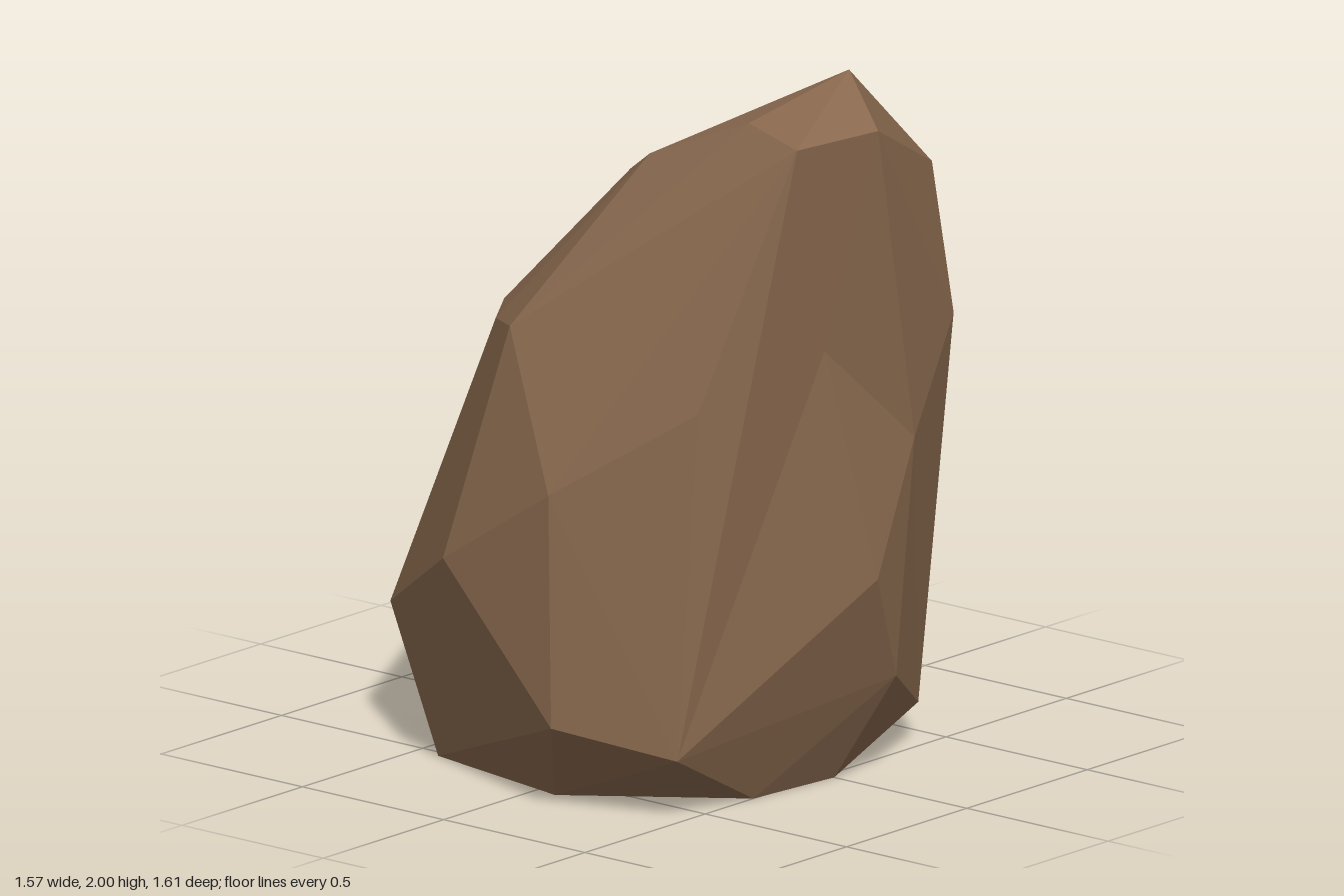
import * as THREE from 'three';
import { ConvexGeometry } from 'three/addons/geometries/ConvexGeometry.js';

// Corners of the rock, grouped by height band
const CORNERS = {
  foot: [[-0.64, 0, 0.24], [-0.42, 0, 0.53], [0.07, 0, 0.62], [0.5, 0, 0.3], [0.53, 0, 0], [0.11, 0, -0.64], [-0.5, 0, -0.52]],
  base: [[-0.785, 0.26, -0.07], [-0.7, 0.355, 0.4], [0.21, 0.25, 0.8], [0.52, 0.18, 0.64], [0.69, 0.3, -0.07],
    [0.47, 0.11, -0.42], [-0.145, 0.31, -0.805], [-0.44, 0.09, -0.75], [-0.715, 0.25, -0.435]],
  middle: [[-0.19, 0.65, 0.78], [0.2, 0.9, 0.8], [0.77, 0.62, 0.1], [-0.18, 1, -0.68], [-0.47, 0.99, -0.535], [-0.63, 0.93, -0.34]],
  shoulder: [[-0.565, 1.18, -0.14], [-0.54, 1.17, 0.115], [-0.25, 1.25, 0.49], [-0.03, 1.31, 0.69], [0.56, 1.15, 0.6],
    [0.655, 1.25, -0.35], [0.19, 1.33, -0.59]],
  crown: [[-0.13, 1.6, 0.07], [-0.03, 1.64, -0.36], [0.2, 1.74, -0.38], [0.51, 1.63, -0.43], [0.18, 1.76, 0.355],
    [0.51, 1.9, 0.33], [0.74, 1.88, 0.4], [0.78, 1.88, 0.11], [0.6, 2, 0.02]],
};

// Corners of the hollow flank: hulled slightly outwards, then pressed back in
const DENTS = [
  { at: [0.73, 0.97, -0.1], push: 0.05 },
  { at: [0.71, 1.28, 0.25], push: 0.1 },
];

function rockGeometry() {
  const points = Object.values(CORNERS).flat().map((p) => new THREE.Vector3(...p));
  const raised = DENTS.map(({ at, push }) => new THREE.Vector3(at[0] + push, at[1], at[2]));
  const geometry = new ConvexGeometry([...points, ...raised]);

  const position = geometry.attributes.position;
  const v = new THREE.Vector3();
  for (let i = 0; i < position.count; i++) {
    v.fromBufferAttribute(position, i);
    const hit = raised.findIndex((r) => r.distanceTo(v) < 1e-4);
    if (hit >= 0) position.setXYZ(i, ...DENTS[hit].at);
  }
  geometry.computeVertexNormals();
  return geometry;
}

export function createModel() {
  const group = new THREE.Group();
  group.name = 'boulder';

  const brownStone = new THREE.MeshStandardMaterial({ color: 0x8a6a4f, flatShading: true });
  brownStone.name = 'brown stone';

  const rock = new THREE.Mesh(rockGeometry(), brownStone);
  rock.name = 'rock';
  group.add(rock);
  return group;
}
